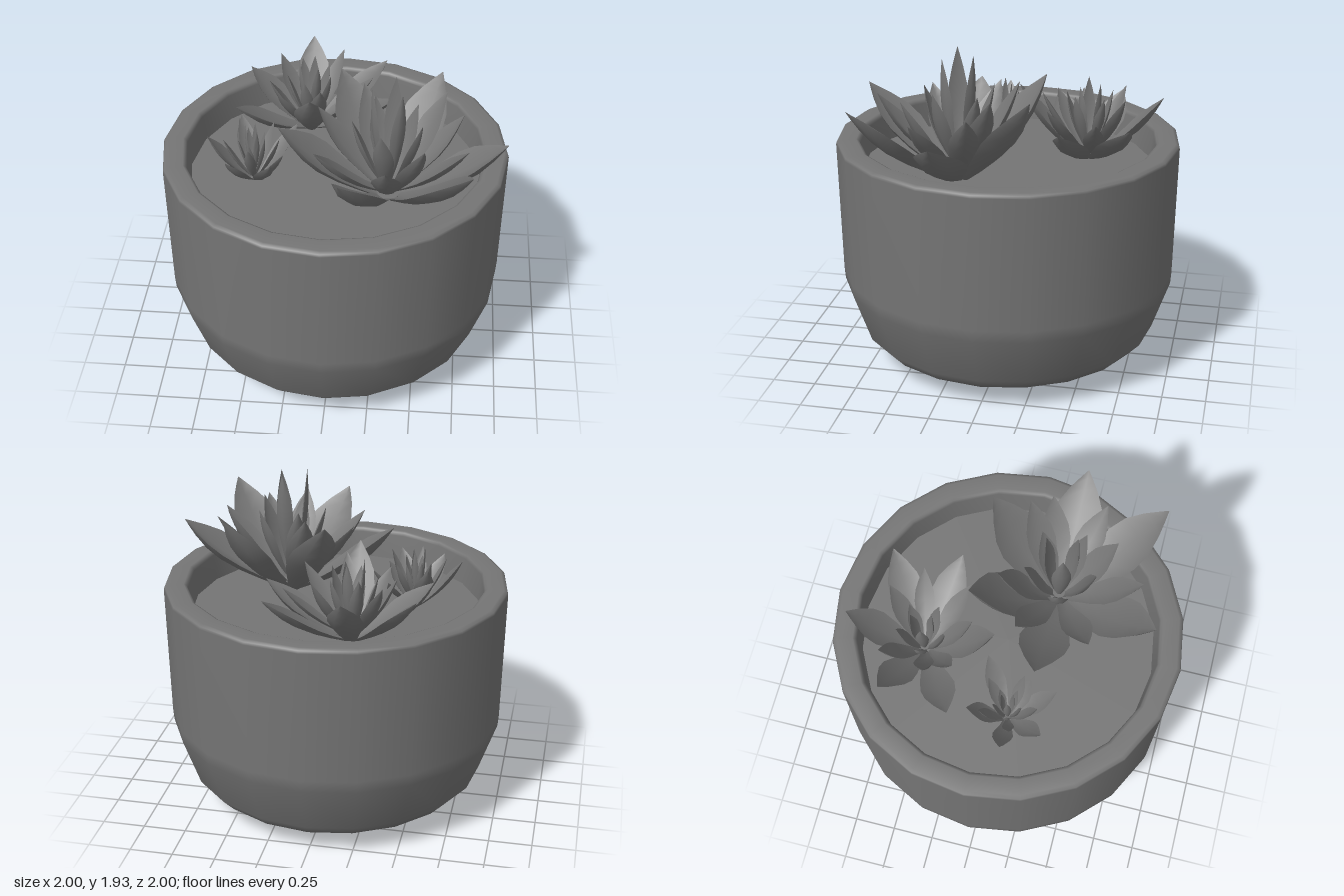
import * as THREE from 'three';
import { mergeGeometries, toCreasedNormals } from 'three/addons/utils/BufferGeometryUtils.js';

const SIDES = 20;
const SOIL_Y = 1.18;
const grey = new THREE.MeshStandardMaterial({ color: 0x757575, side: THREE.DoubleSide });

// Leaf outline: [position along leaf, share of half width]
const OUTLINE = [[0, 0.35], [0.18, 0.55], [0.36, 0.82], [0.55, 1], [0.7, 0.9], [0.84, 0.56], [0.93, 0.26], [1, 0.01]];

// Leaf cross-section in half widths: channelled top, rounded underside
const SECTION = [[-1, 0.3], [0, 0], [1, 0.3], [0.55, -0.12], [0, -0.25], [-0.55, -0.12]];

// Fleshy pointed leaf, bending upwards
function leafGeometry(base, tip, halfWidth) {
  const angle = Math.atan2(tip.z - base.z, tip.x - base.x);
  const side = new THREE.Vector3(-Math.sin(angle), 0, Math.cos(angle));
  const length = base.distanceTo(tip);
  const control = base.clone().lerp(tip, 0.5);
  control.y -= 0.08 * length;
  control.x += Math.cos(angle) * 0.06 * length;
  control.z += Math.sin(angle) * 0.06 * length;
  const path = new THREE.QuadraticBezierCurve3(base, control, tip);
  const positions = [], indices = [];
  const n = SECTION.length;
  OUTLINE.forEach(([t, share], i) => {
    const centre = path.getPoint(t);
    const up = side.clone().cross(path.getTangent(t));
    const w = halfWidth * share;
    SECTION.forEach(([u, v], j) => {
      const p = centre.clone().addScaledVector(side, u * w).addScaledVector(up, v * w);
      positions.push(p.x, p.y, p.z);
      if (i < OUTLINE.length - 1) {
        const a = i * n + j, b = i * n + (j + 1) % n;
        indices.push(a, b, b + n, a, b + n, a + n);
      }
    });
  });
  const geometry = new THREE.BufferGeometry();
  geometry.setAttribute('position', new THREE.Float32BufferAttribute(positions, 3));
  geometry.setIndex(indices);
  return toCreasedNormals(geometry, 1);
}

// One whorl of leaves from a list of tips [x, y, z]
function whorl(name, cx, cz, baseY, baseRadius, halfWidth, tips) {
  const leaves = tips.map(([x, y, z]) => {
    const a = Math.atan2(z - cz, x - cx);
    const base = new THREE.Vector3(cx + baseRadius * Math.cos(a), baseY, cz + baseRadius * Math.sin(a));
    return leafGeometry(base, new THREE.Vector3(x, y, z), halfWidth);
  });
  const mesh = new THREE.Mesh(mergeGeometries(leaves), grey);
  mesh.name = name;
  return mesh;
}

// Evenly turned tips, stepping slightly in height
function ringTips(cx, cz, count, radius, y, turn) {
  return Array.from({ length: count }, (_, i) => {
    const a = turn + (i / count) * Math.PI * 2;
    return [cx + radius * Math.cos(a), y - 0.015 * (i % 3), cz + radius * Math.sin(a)];
  });
}

function succulent({ name, x, z, size, outer, middle, innerY, top }) {
  const plant = new THREE.Group();
  plant.name = name;
  const r = 0.06 * size;
  plant.add(
    whorl('outerLeaves', x, z, SOIL_Y + 0.02 * size, r, 0.145 * size, outer),
    whorl('middleLeaves', x, z, SOIL_Y + 0.06 * size, r * 0.8, 0.085 * size, middle),
    whorl('innerLeaves', x, z, SOIL_Y + 0.1 * size, r * 0.6, 0.06 * size,
      ringTips(x, z, 5, 0.21 * size, innerY, 0.5)),
    whorl('heartLeaves', x, z, SOIL_Y + 0.14 * size, r * 0.4, 0.055 * size,
      ringTips(x, z, 3, 0.1 * size, top, 2.9)),
  );
  return plant;
}

const PLANTS = [
  {
    name: 'largeSucculent', x: 0.32, z: 0.22, size: 1, innerY: 1.73, top: 1.93,
    outer: [[0.98, 1.57, 0.23], [0.78, 1.69, 0.73], [0.08, 1.65, 0.81],
      [-0.3, 1.61, 0.22], [0.02, 1.74, -0.23], [0.6, 1.74, -0.24]],
    middle: [[0.63, 1.74, -0.03], [0.73, 1.66, 0.08], [0.76, 1.62, 0.39], [0.32, 1.66, 0.69],
      [-0.08, 1.62, 0.47], [-0.09, 1.66, 0.06], [0.16, 1.73, -0.1], [0.52, 1.68, 0.5]],
  },
  {
    name: 'mediumSucculent', x: -0.18, z: -0.45, size: 0.68, innerY: 1.59, top: 1.66,
    outer: [[-0.2, 1.57, -0.88], [0.26, 1.5, -0.74], [0.33, 1.47, -0.35],
      [-0.15, 1.62, -0.04], [-0.6, 1.46, -0.2], [-0.56, 1.5, -0.6]],
    middle: [[0.19, 1.5, -0.54], [0.13, 1.55, -0.25], [-0.1, 1.6, -0.18], [-0.36, 1.55, -0.23],
      [-0.42, 1.54, -0.38], [-0.38, 1.58, -0.64], [0.0, 1.6, -0.68]],
  },
  {
    name: 'smallSucculent', x: -0.46, z: 0.11, size: 0.4, innerY: 1.48, top: 1.55,
    outer: [[-0.22, 1.46, -0.06], [-0.55, 1.48, -0.1], [-0.72, 1.47, 0.13],
      [-0.59, 1.43, 0.33], [-0.33, 1.44, 0.36], [-0.28, 1.41, 0.2]],
    middle: ringTips(-0.46, 0.11, 5, 0.17, 1.5, 0.35),
  },
];

export function createModel() {
  const model = new THREE.Group();
  model.name = 'succulentPlanter';

  // Faceted pot wall, open below, with a thick rounded rim
  const profile = [[0.5, 0], [0.81, 0.125], [0.88, 0.2], [0.98, 0.49], [0.985, 0.56], [1, 1.335],
    [0.995, 1.35], [0.975, 1.36], [0.885, 1.36], [0.87, 1.353], [0.862, 1.335], [0.845, SOIL_Y]];
  const pot = new THREE.Mesh(
    new THREE.LatheGeometry(profile.map(([r, y]) => new THREE.Vector2(r, y)), SIDES), grey);
  pot.name = 'pot';
  model.add(pot);

  // Flat soil meeting the inner wall
  const soil = new THREE.Mesh(new THREE.CircleGeometry(0.845, SIDES), grey);
  soil.rotation.x = -Math.PI / 2;
  soil.position.y = SOIL_Y;
  soil.name = 'soil';
  model.add(soil);

  PLANTS.forEach((plant) => model.add(succulent(plant)));
  return model;
}
